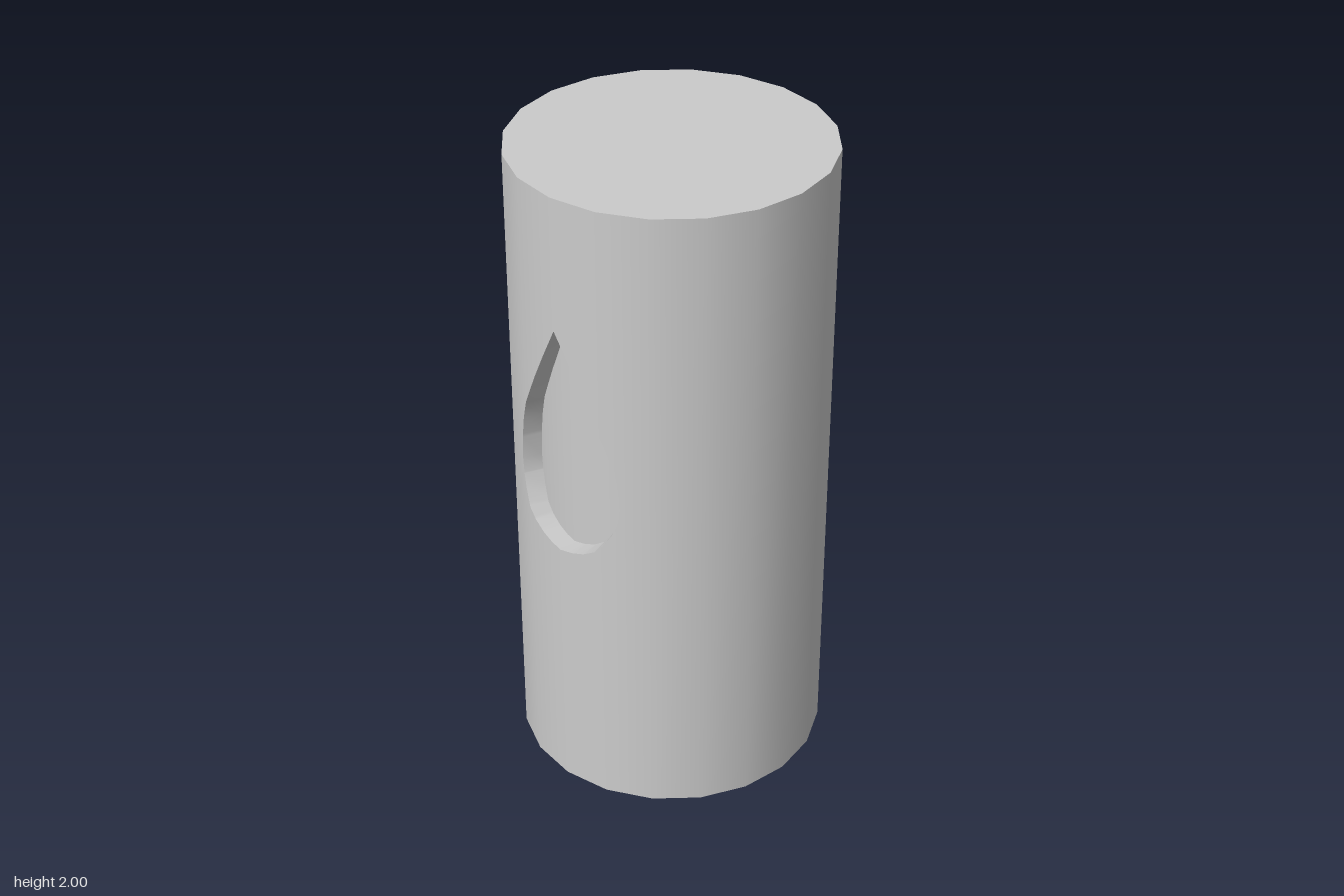
import * as THREE from 'three';

const R = 0.473, H = 2, SIDES = 20, STEP = (Math.PI * 2) / SIDES;
const RECESS = 0.875; // radial scale of the recess floor

// Half outline of the teardrop: [x, y] of the lower and upper curves
const WIDE = 0.197;
const LOWER = [[0, 0.853], [0.04, 0.857], [0.08, 0.869], [0.12, 0.893], [0.15, 0.927], [0.175, 0.97], [0.19, 1.015], [WIDE, 1.06]];
const UPPER = [[0, 1.59], [0.05, 1.495], [0.095, 1.405], [0.127, 1.335], [0.155, 1.27], [0.175, 1.215], [0.189, 1.15], [WIDE, 1.06]];

// Piecewise linear lookup, clamped at the last point
function lookup(table, x) {
  const v = Math.abs(x);
  for (let i = 1; i < table.length; i++) {
    const [x0, y0] = table[i - 1], [x1, y1] = table[i];
    if (v <= x1) return y0 + ((y1 - y0) * (v - x0)) / (x1 - x0);
  }
  return table[table.length - 1][1];
}

// Cross-section of the faceted front, as z over x
const FACETS = [0, 1, 2].map((k) => [R * Math.sin(k * STEP), R * Math.cos(k * STEP)]);
const point = (x, y, s = 1) => [x * s, y, lookup(FACETS, x) * s];

// Ribbon between pairs of points; radial gives it cylinder normals
function strip(pairs, radial) {
  const pos = [], index = [];
  pairs.forEach(([a, b], i) => {
    pos.push(...a, ...b);
    if (i) {
      const k = 2 * i;
      index.push(k - 2, k, k + 1, k - 2, k + 1, k - 1);
    }
  });
  const g = new THREE.BufferGeometry();
  g.setAttribute('position', new THREE.Float32BufferAttribute(pos, 3));
  g.setIndex(index);
  g.computeVertexNormals();
  if (radial) {
    const n = g.attributes.normal, p = g.attributes.position;
    for (let i = 0; i < n.count; i++) {
      const l = Math.hypot(p.getX(i), p.getZ(i));
      n.setXYZ(i, p.getX(i) / l, 0, p.getZ(i) / l);
    }
  }
  return g;
}

export function createModel() {
  const group = new THREE.Group();
  const material = new THREE.MeshStandardMaterial({ color: 0xcccccc });
  const add = (name, geometry) => {
    const mesh = new THREE.Mesh(geometry, material);
    mesh.name = name;
    group.add(mesh);
    return mesh;
  };

  // Sides and back of the column
  add('columnWall', new THREE.CylinderGeometry(R, R, H, SIDES - 4, 1, true, 2 * STEP, Math.PI * 2 - 4 * STEP)).position.y = H / 2;

  // End caps
  const top = add('topCap', new THREE.CircleGeometry(R, SIDES));
  top.rotation.x = -Math.PI / 2;
  top.position.y = H;
  add('bottomCap', new THREE.CircleGeometry(R, SIDES)).rotation.x = Math.PI / 2;

  // Columns shared by the front panel, recess wall and floor
  const half = [...new Set([...LOWER, ...UPPER, ...FACETS].map((p) => p[0]))].sort((a, b) => a - b);
  const xs = [...half.slice(1).reverse().map((x) => -x), ...half];
  const inside = xs.filter((x) => Math.abs(x) <= WIDE);
  const lo = (x) => lookup(LOWER, x), hi = (x) => lookup(UPPER, x);

  // Front panel below and above the teardrop opening
  add('frontPanelLower', strip(xs.map((x) => [point(x, 0), point(x, lo(x))]), true));
  add('frontPanelUpper', strip(xs.map((x) => [point(x, hi(x)), point(x, H)]), true));

  // Curved floor of the recess
  add('recessFloor', strip(inside.map((x) => [point(x, lo(x), RECESS), point(x, hi(x), RECESS)]), true));

  // Wall of the recess, once round from the tip
  const down = inside.slice().reverse();
  const loop = [
    ...down.filter((x) => x <= 0).map((x) => [x, hi(x)]),
    ...inside.slice(1).map((x) => [x, lo(x)]),
    ...down.slice(1).filter((x) => x >= 0).map((x) => [x, hi(x)]),
  ];
  add('recessWall', strip(loop.map(([x, y]) => [point(x, y), point(x, y, RECESS)]), false));

  return group;
}
